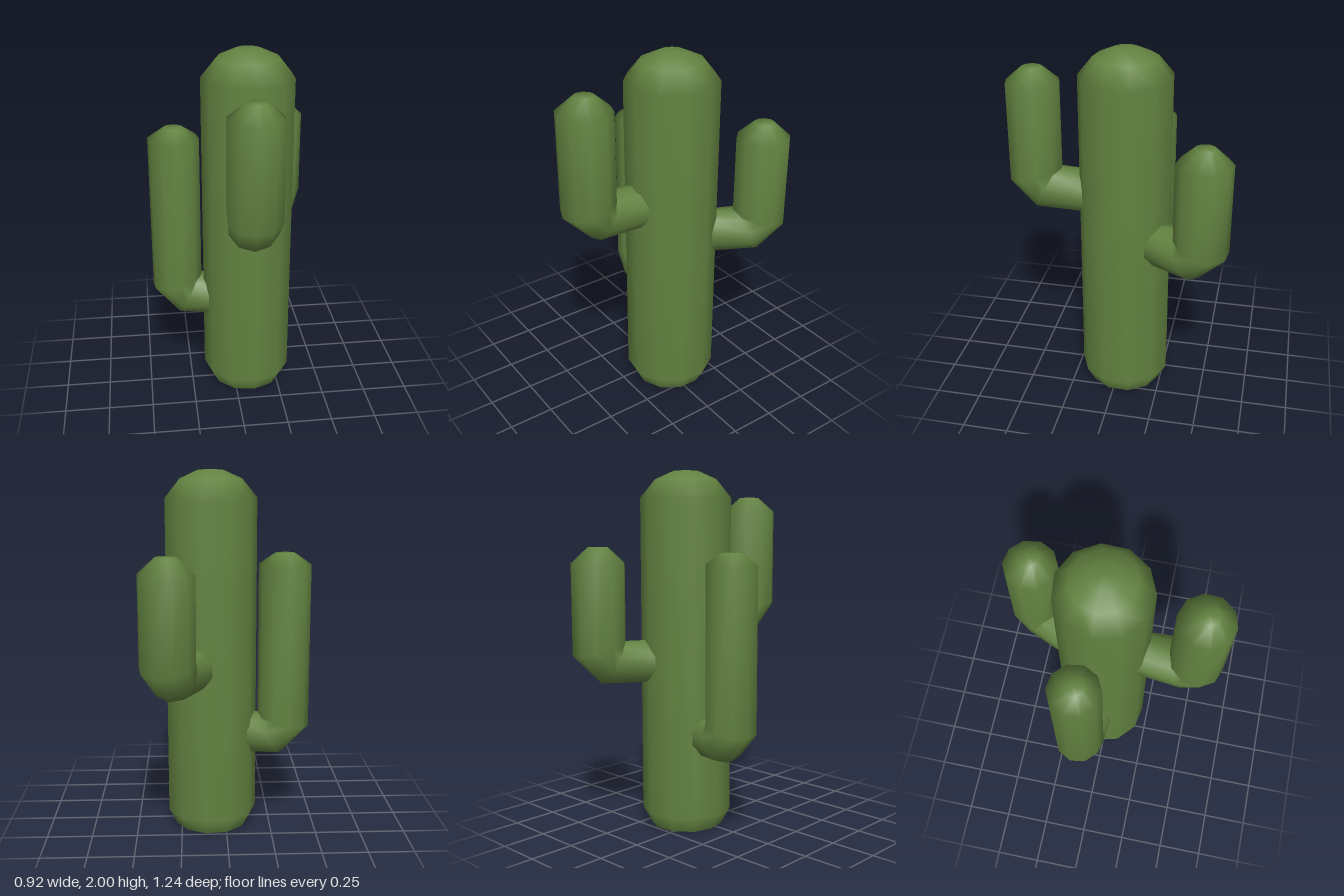
import * as THREE from 'three';

const CX = 0.08, CZ = -0.035; // trunk axis

// Skin a row of rings; each ring is [z, y, uz, uy, halfWidth], closed by a cap at the end
function skinRings(rings, sides) {
  const pos = [], index = [];
  for (const [z, y, uz, uy, w] of rings) {
    for (let j = 0; j < sides; j++) {
      const a = (j / sides) * Math.PI * 2;
      pos.push(-Math.sin(a) * w, y + Math.cos(a) * uy, z + Math.cos(a) * uz);
    }
  }
  const n = rings.length, last = rings[n - 1];
  for (let i = 0; i < n - 1; i++) {
    for (let j = 0; j < sides; j++) {
      const k = (j + 1) % sides;
      const a = i * sides + j, b = i * sides + k;
      index.push(a, b, b + sides, a, b + sides, a + sides);
    }
  }
  pos.push(0, last[1], last[0]);
  for (let j = 0; j < sides; j++) {
    index.push(n * sides, (n - 1) * sides + j, (n - 1) * sides + ((j + 1) % sides));
  }
  const geo = new THREE.BufferGeometry();
  geo.setAttribute('position', new THREE.Float32BufferAttribute(pos, 3));
  geo.setIndex(index);
  geo.computeVertexNormals();
  return geo;
}

// Elbowed arm whose upright part is centred on (x, z)
function makeArm(name, x, z, bottom, rim, top, r, material) {
  const dx = x - CX, dz = z - CZ, d = Math.hypot(dx, dz);
  const geo = skinRings([
    [0.15, bottom + 0.12, 0, 0.12, 0.115],            // root inside the trunk
    [d - 0.07, bottom + 0.125, -0.06, 0.115, 0.138],  // elbow
    [d, bottom + 0.205, -r, 0.035, r],
    [d, rim, -r, 0, r],                               // upright
    [d, top, -0.055, 0, 0.055],                       // blunt tip
  ], 10);
  const arm = new THREE.Mesh(geo, material);
  arm.name = name;
  arm.position.set(CX, 0, CZ);
  arm.rotation.y = Math.atan2(dx, dz);
  return arm;
}

export function createModel() {
  const group = new THREE.Group();
  group.name = 'cactus';
  const green = new THREE.MeshStandardMaterial({ color: 0x628240 });
  green.name = 'cactus green';

  const lathe = (name, profile) => {
    const points = profile.map(([r, y]) => new THREE.Vector2(r, y));
    const mesh = new THREE.Mesh(new THREE.LatheGeometry(points, 11, 0.115), green);
    mesh.name = name;
    mesh.position.set(CX, 0, CZ);
    group.add(mesh);
  };

  // Trunk with a bevelled foot and a domed top
  lathe('trunk', [[0.205, 0], [0.252, 0.09], [0.252, 1.85], [0.17, 1.95], [0.07, 1.995], [0, 2]]);
  lathe('trunkBase', [[0, 0], [0.205, 0]]);

  // Three arms
  group.add(
    makeArm('frontArm', 0.053, 0.472, 1.06, 1.78, 1.86, 0.148, green),
    makeArm('rightArm', -0.32, -0.105, 0.425, 1.5, 1.56, 0.142, green),
    makeArm('backArm', 0.31, -0.478, 0.83, 1.5, 1.585, 0.148, green),
  );
  return group;
}
